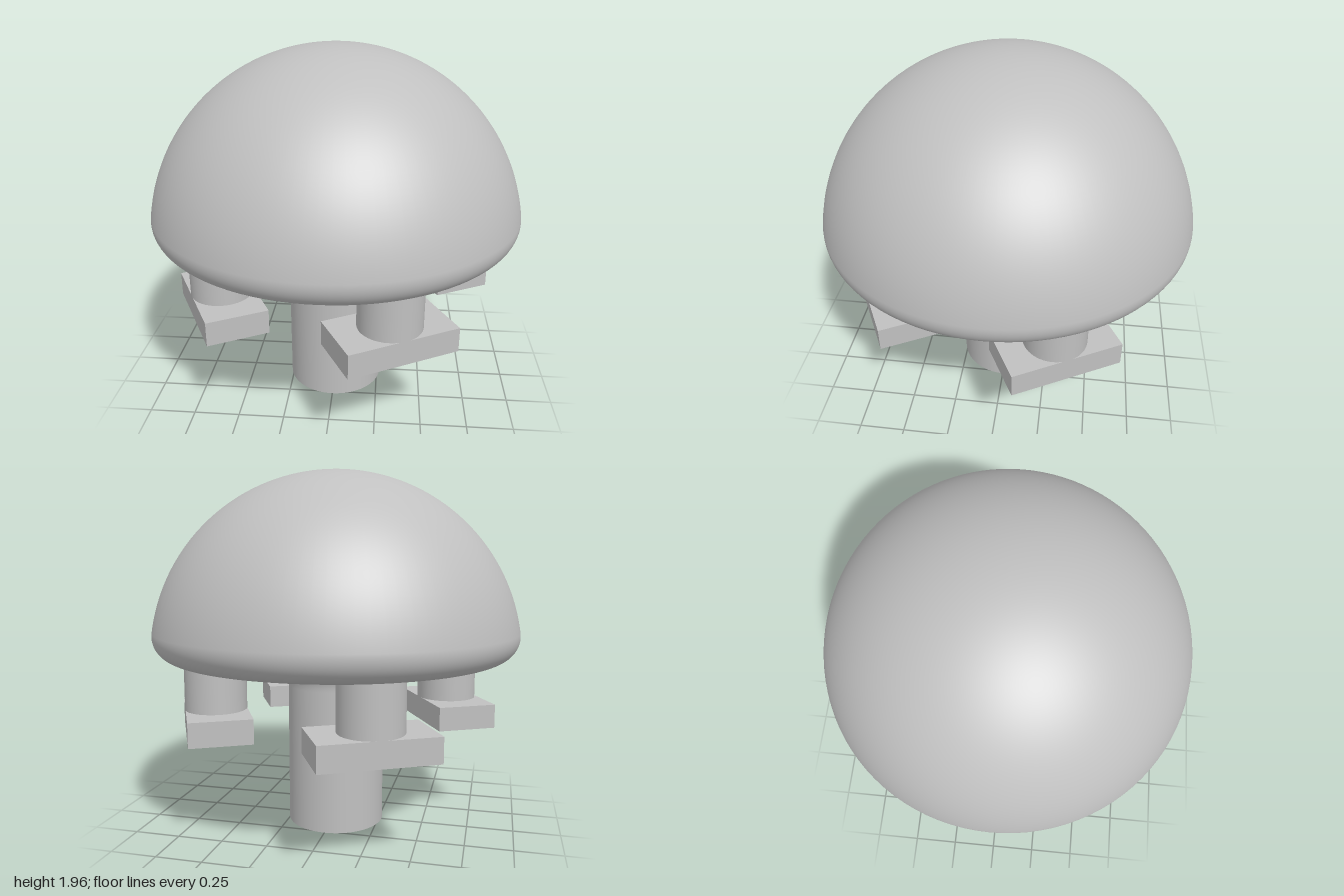
import * as THREE from 'three';

const grey = new THREE.MeshStandardMaterial({ color: 0xc0c0c0 });
grey.name = 'plainGrey';

const BASE = 0.947;      // underside of the cap
const STEM_R = 0.268;
const HOLE_R = 0.115;

function part(name, geometry, y = 0) {
  const mesh = new THREE.Mesh(geometry, grey);
  mesh.name = name;
  mesh.position.y = y;
  return mesh;
}

function lathe(points) {
  return new THREE.LatheGeometry(points, 96);
}

// points along an arc, angles in radians
function arc(cx, cy, r, from, to, steps) {
  return Array.from({ length: steps + 1 }, (_, i) => {
    const a = from + (to - from) * i / steps;
    return new THREE.Vector2(Math.max(0, cx + r * Math.cos(a)), cy + r * Math.sin(a));
  });
}

export function createModel() {
  const model = new THREE.Group();
  model.name = 'domedKnob';

  // stem wall, flared into the underside of the cap
  const flare = 0.16;
  const stemTop = arc(STEM_R + flare, BASE - flare, flare, Math.PI, Math.PI / 2, 16);
  model.add(part('stem', lathe([
    new THREE.Vector2(STEM_R, 0),
    new THREE.Vector2(STEM_R, BASE - flare - 0.01),
    ...stemTop,
  ])));

  // hemispherical cap with a rounded rim
  const R = 1.01, rim = 0.13;
  const rimX = Math.sqrt((R - rim) ** 2 - rim ** 2);
  const join = Math.asin(rim / (R - rim));
  model.add(part('cap', lathe([
    new THREE.Vector2(STEM_R + flare, BASE),
    new THREE.Vector2(rimX - 0.01, BASE),
    ...arc(rimX, BASE + rim, rim, -Math.PI / 2, join, 20),
    ...arc(0, BASE, R, join, Math.PI / 2, 48).slice(1),
  ])));

  // stem end and the bore inside it
  const boreTop = 0.9;
  const v = (x, y) => new THREE.Vector2(x, y);
  model.add(part('stemEnd', lathe([v(HOLE_R, 0), v(STEM_R, 0)])));
  model.add(part('boreWall', lathe([v(HOLE_R, boreTop), v(HOLE_R, 0)])));
  model.add(part('boreTop', lathe([v(0, boreTop), v(HOLE_R, boreTop)])));

  // four posts with rectangular feet, spaced evenly round the stem
  for (let i = 0; i < 4; i++) {
    const arm = new THREE.Group();
    arm.name = 'lug' + (i + 1);
    const post = part('post', new THREE.CylinderGeometry(0.167, 0.167, 0.275, 48), 0.8125);
    const foot = part('foot', new THREE.BoxGeometry(0.604, 0.132, 0.33), 0.609);
    post.position.z = foot.position.z = 0.673;
    arm.add(post, foot);
    arm.rotation.y = THREE.MathUtils.degToRad(28) + i * Math.PI / 2;
    model.add(arm);
  }
  return model;
}
